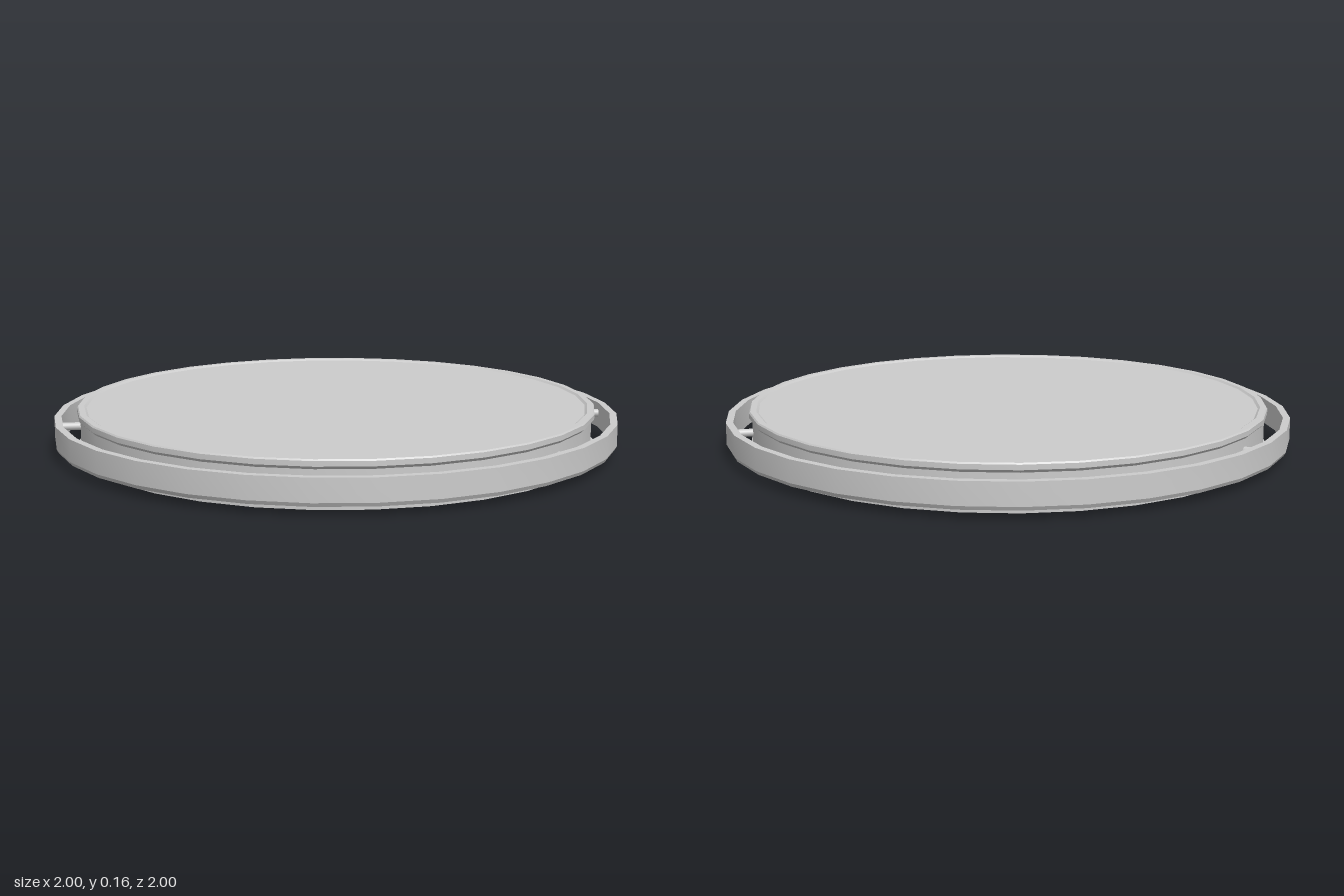
import * as THREE from 'three';
import { toCreasedNormals } from 'three/addons/utils/BufferGeometryUtils.js';

const SIDES = 32;

// Revolve a (radius, height) profile, keeping its corners sharp
function revolve(profile) {
  const points = profile.map(([r, y]) => new THREE.Vector2(r, y));
  return toCreasedNormals(new THREE.LatheGeometry(points, SIDES), 0.4);
}

export function createModel() {
  const model = new THREE.Group();
  model.name = 'railedDisc';
  const grey = new THREE.MeshStandardMaterial({ name: 'light grey', color: 0xcccccc });

  function add(name, geometry, parent = model) {
    const mesh = new THREE.Mesh(geometry, grey);
    mesh.name = name;
    parent.add(mesh);
    return mesh;
  }

  // Disc with a lip at top and bottom and shallow recessed faces
  add('disc', revolve([
    [0, 0.005], [0.887, 0.005], [0.893, 0], [0.92, 0], [0.92, 0.025],
    [0.91, 0.032], [0.91, 0.123], [0.92, 0.133], [0.92, 0.15], [0.916, 0.155],
    [0.895, 0.155], [0.887, 0.149], [0, 0.149],
  ]));

  // Outer ring, slightly chamfered along its lower edge
  add('outerRing', revolve([
    [0.975, 0.03], [0.993, 0.03], [1, 0.043], [1, 0.12], [0.975, 0.12], [0.975, 0.03],
  ]));

  // Eight round pins joining the disc to the ring
  const pins = new THREE.Group();
  pins.name = 'pins';
  model.add(pins);
  const pinGeometry = new THREE.CylinderGeometry(0.014, 0.014, 0.08, 12);
  pinGeometry.rotateX(Math.PI / 2).translate(0, 0.082, 0.943);
  for (let i = 0; i < 8; i++) {
    add('pin', pinGeometry, pins).rotation.y = (i * Math.PI) / 4;
  }

  return model;
}
